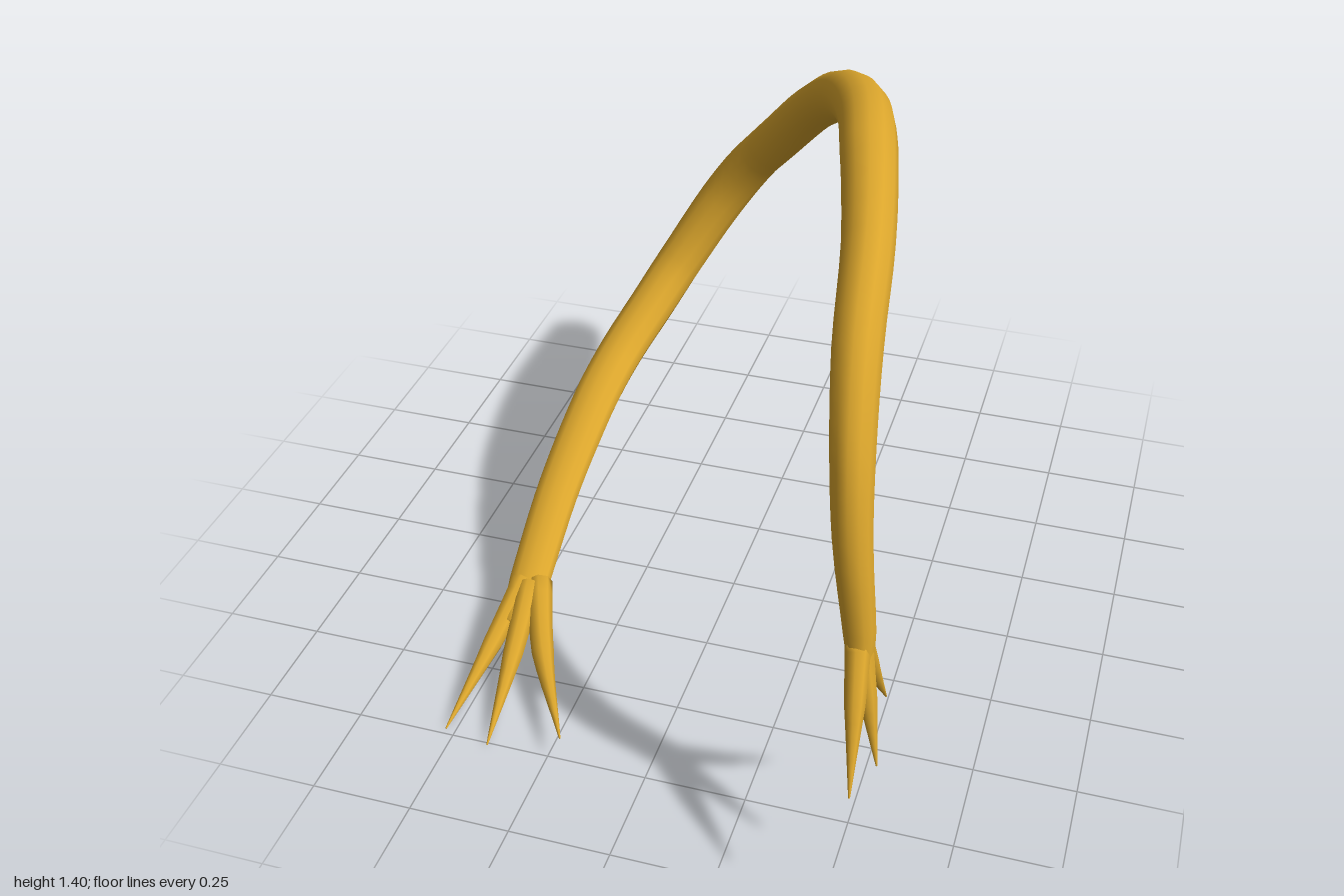
import * as THREE from 'three';

// Smooth swept limb: each station is [x, y, z, side radius, normal radius]
function sweep(stations, steps, sides) {
  const curve = new THREE.CatmullRomCurve3(stations.map(s => new THREE.Vector3(s[0], s[1], s[2])), false, 'centripetal');
  const last = stations.length - 1;
  const positions = [], index = [];
  const addRing = (center, side, normal, rs, rn) => {
    for (let j = 0; j < sides; j++) {
      const a = (j / sides) * Math.PI * 2;
      const p = center.clone()
        .addScaledVector(side, Math.cos(a) * rs)
        .addScaledVector(normal, Math.sin(a) * rn);
      positions.push(p.x, p.y, p.z);
    }
  };
  for (let i = 0; i <= steps; i++) {
    const t = i / steps;
    const k = Math.min(Math.floor(t * last), last - 1), f = t * last - k;
    const rs = THREE.MathUtils.lerp(stations[k][3], stations[k + 1][3], f);
    const rn = THREE.MathUtils.lerp(stations[k][4], stations[k + 1][4], f);
    const tangent = curve.getTangent(t);
    const side = new THREE.Vector3(1, 0, 0).addScaledVector(tangent, -tangent.x).normalize();
    const normal = new THREE.Vector3().crossVectors(tangent, side);
    addRing(curve.getPoint(t), side, normal, rs, rn);
  }
  for (let i = 0; i < steps; i++) {
    for (let j = 0; j < sides; j++) {
      const a = i * sides + j, b = i * sides + (j + 1) % sides;
      index.push(a, b, a + sides, b, b + sides, a + sides);
    }
  }
  // Close both ends with a fan
  const end = steps * sides;
  for (let j = 1; j < sides - 1; j++) {
    index.push(0, j + 1, j, end, end + j, end + j + 1);
  }
  const geometry = new THREE.BufferGeometry();
  geometry.setAttribute('position', new THREE.Float32BufferAttribute(positions, 3));
  geometry.setIndex(index);
  geometry.computeVertexNormals();
  return geometry;
}

export function createModel() {
  const model = new THREE.Group();
  model.name = 'curvedClawedLimb';
  const gold = new THREE.MeshStandardMaterial({ color: 0xdaa52c });
  gold.name = 'gold';

  const add = (name, geometry) => {
    const mesh = new THREE.Mesh(geometry, gold);
    mesh.name = name;
    model.add(mesh);
  };

  // Long arched body, from the raised wrist round the back to the low wrist
  const body = [
    [0.517, 0.54, 0.785, 0.028, 0.035],
    [0.508, 0.62, 0.767, 0.037, 0.040],
    [0.475, 0.83, 0.725, 0.045, 0.046],
    [0.450, 1.00, 0.645, 0.050, 0.058],
    [0.420, 1.16, 0.50, 0.056, 0.063],
    [0.385, 1.28, 0.27, 0.060, 0.065],
    [0.310, 1.345, -0.05, 0.068, 0.067],
    [0.250, 1.335, -0.26, 0.068, 0.067],
    [0.150, 1.26, -0.50, 0.066, 0.066],
    [0.000, 1.08, -0.78, 0.066, 0.066],
    [-0.125, 0.92, -0.90, 0.066, 0.066],
    [-0.225, 0.80, -0.933, 0.067, 0.066],
    [-0.315, 0.67, -0.917, 0.068, 0.064],
    [-0.415, 0.50, -0.825, 0.068, 0.060],
    [-0.465, 0.41, -0.715, 0.068, 0.055],
    [-0.508, 0.335, -0.56, 0.068, 0.048],
    [-0.522, 0.292, -0.40, 0.067, 0.044],
    [-0.520, 0.245, -0.20, 0.064, 0.040],
    [-0.510, 0.195, 0.00, 0.060, 0.037],
    [-0.480, 0.13, 0.27, 0.055, 0.032],
    [-0.460, 0.10, 0.42, 0.042, 0.024],
  ];
  add('body', sweep(body, 80, 12));

  // Three tapering claws on each wrist: [base, knuckle, tip]
  const claws = {
    upperFrontClaw: [[0.508, 0.60, 0.775, 0.030], [0.527, 0.50, 0.872, 0.023], [0.55, 0.357, 0.998, 0.002]],
    upperMiddleClaw: [[0.512, 0.59, 0.775, 0.030], [0.545, 0.48, 0.822, 0.021], [0.583, 0.345, 0.878, 0.002]],
    upperBackClaw: [[0.508, 0.60, 0.765, 0.032], [0.528, 0.50, 0.733, 0.023], [0.557, 0.352, 0.668, 0.002]],
    lowerOuterClaw: [[-0.492, 0.13, 0.29, 0.034], [-0.502, 0.082, 0.48, 0.026], [-0.525, 0.012, 0.735, 0.002]],
    lowerMiddleClaw: [[-0.470, 0.13, 0.30, 0.034], [-0.435, 0.082, 0.51, 0.026], [-0.402, 0.020, 0.765, 0.002]],
    lowerInnerClaw: [[-0.450, 0.13, 0.28, 0.034], [-0.360, 0.092, 0.49, 0.028], [-0.217, 0.075, 0.745, 0.002]],
  };
  for (const [name, points] of Object.entries(claws)) {
    add(name, sweep(points.map(p => [...p, p[3]]), 10, 8));
  }
  return model;
}
